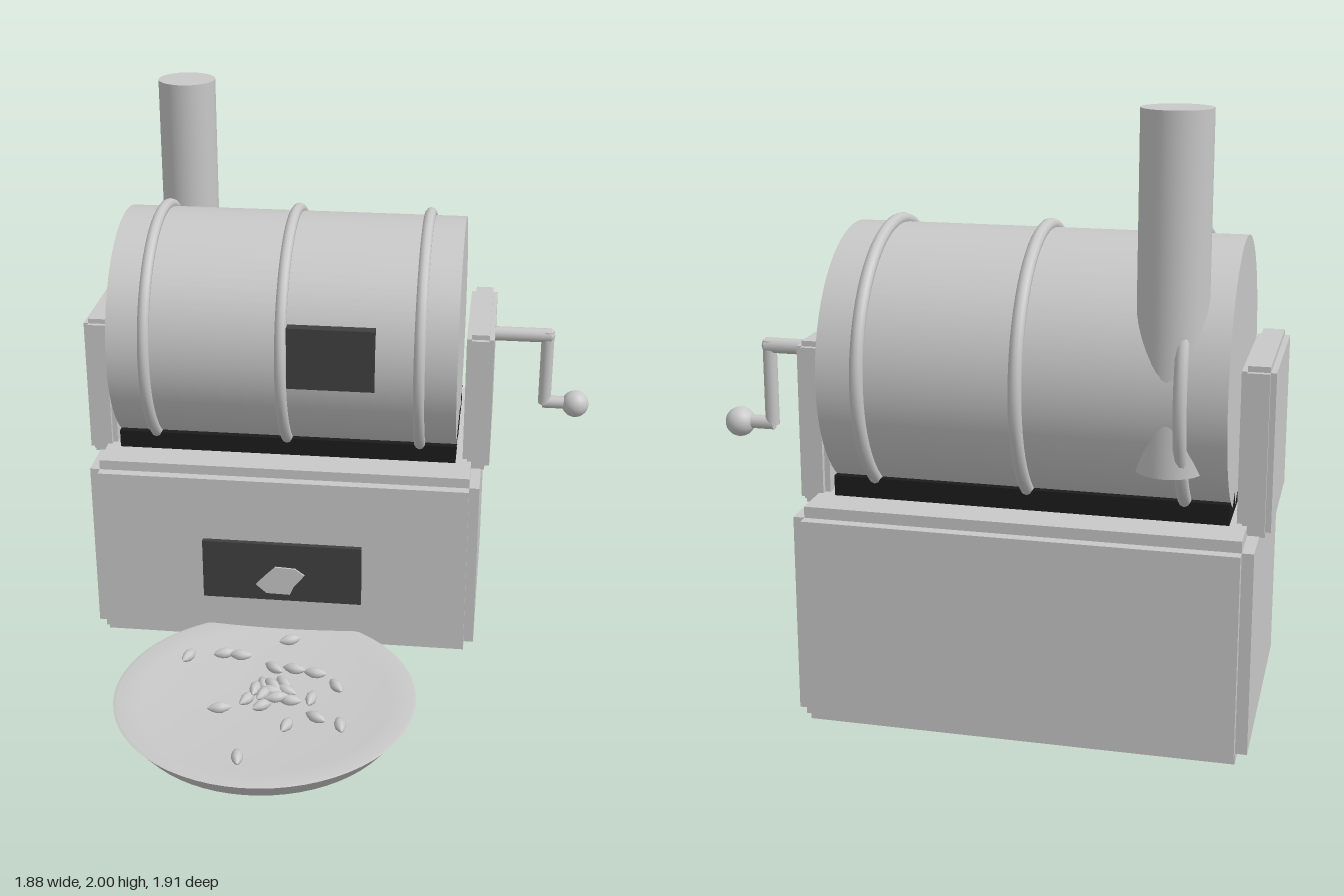
import * as THREE from 'three';
import { toCreasedNormals } from 'three/addons/utils/BufferGeometryUtils.js';

const paint = (name, color) => {
  const m = new THREE.MeshStandardMaterial({ color });
  m.name = name;
  return m;
};

export function createModel() {
  const model = new THREE.Group();
  const grey = paint('pale grey metal', 0xc8c8c8);
  const dark = paint('dark iron', 0x404040);
  const soot = paint('soot black', 0x1c1c1c);

  const add = (name, geometry, material, x = 0, y = 0, z = 0, parent = model) => {
    const mesh = new THREE.Mesh(geometry, material);
    mesh.name = name;
    mesh.position.set(x, y, z);
    parent.add(mesh);
    return mesh;
  };
  // Box given by its low and high corners
  const span = (name, a, b, material, parent) => add(name,
    new THREE.BoxGeometry(b[0] - a[0], b[1] - a[1], b[2] - a[2]), material,
    (a[0] + b[0]) / 2, (a[1] + b[1]) / 2, (a[2] + b[2]) / 2, parent);
  // Block with notched edges: three crossing boxes, each full size along one axis
  const notchedBlock = (name, a, b, inset) => {
    const group = new THREE.Group();
    group.name = name;
    for (let axis = 0; axis < 3; axis++) {
      span(name + 'Face', a.map((v, i) => (i === axis ? v : v + inset)),
        b.map((v, i) => (i === axis ? v : v - inset)), grey, group);
    }
    model.add(group);
  };
  // Round bar between two points
  const bar = (name, from, to, radius, parent) => {
    const a = new THREE.Vector3(...from), b = new THREE.Vector3(...to);
    const dir = b.clone().sub(a);
    const mesh = add(name, new THREE.CylinderGeometry(radius, radius, dir.length(), 12), grey, 0, 0, 0, parent);
    mesh.position.copy(a).add(b).multiplyScalar(0.5);
    mesh.quaternion.setFromUnitVectors(new THREE.Vector3(0, 1, 0), dir.normalize());
  };

  // Base and the two supports holding the drum
  notchedBlock('base', [-0.91, 0, -0.945], [0.545, 0.73, -0.04], 0.037);
  notchedBlock('rightSupport', [-0.945, 0.69, -0.77], [-0.84, 1.23, -0.225], 0.018);
  notchedBlock('leftSupport', [0.475, 0.69, -0.77], [0.575, 1.23, -0.225], 0.018);
  span('fireBed', [-0.82, 0.72, -0.78], [0.45, 0.797, -0.205], soot);

  // Drum with three hoops
  const cy = 1.142, cz = -0.4925;
  add('drum', new THREE.CylinderGeometry(0.434, 0.434, 1.27, 64).rotateZ(Math.PI / 2), grey, -0.185, cy, cz);
  for (const x of [-0.68, -0.183, 0.315]) {
    add('hoop', new THREE.TorusGeometry(0.442, 0.021, 10, 64).rotateY(Math.PI / 2), grey, x, cy, cz);
  }
  span('hatch', [-0.16, 1.07, -0.1], [0.157, 1.302, -0.048], dark);

  // Chimney
  add('chimney', new THREE.CylinderGeometry(0.108, 0.108, 1.09, 40), grey, -0.638, 1.455, -0.813);

  // Crank on the left side
  const crank = new THREE.Group();
  crank.name = 'crank';
  model.add(crank);
  bar('crankShaft', [0.56, 1.142, cz], [0.785, 1.142, cz], 0.027, crank);
  bar('crankArm', [0.772, 1.16, cz], [0.772, 0.865, cz], 0.024, crank);
  bar('crankGrip', [0.765, 0.87, cz], [0.87, 0.87, cz], 0.024, crank);
  add('crankElbow', new THREE.SphereGeometry(0.027, 12, 8), grey, 0.772, 1.142, cz, crank);
  add('crankKnob', new THREE.SphereGeometry(0.051, 24, 16), grey, 0.889, 0.867, cz, crank);

  // Outlet opening with a flat flake in it
  span('outlet', [-0.482, 0.205, -0.06], [0.118, 0.443, -0.02], dark);
  const flake = new THREE.Shape([
    [-0.28, 0.272], [-0.24, 0.237], [-0.15, 0.235], [-0.135, 0.27],
    [-0.095, 0.32], [-0.13, 0.346], [-0.205, 0.35], [-0.24, 0.315],
  ].map(p => new THREE.Vector2(...p)));
  add('flake', new THREE.ExtrudeGeometry(flake, { depth: 0.009, bevelEnabled: false }), grey, 0, 0, -0.022);

  // Shallow dish
  const profile = [[0, 0], [0.485, 0], [0.542, 0.072], [0.53, 0.075], [0.45, 0.066], [0.3, 0.058], [0.15, 0.053], [0, 0.05]]
    .map(p => new THREE.Vector2(...p));
  add('dish', toCreasedNormals(new THREE.LatheGeometry(profile, 64), 0.5), grey, -0.183, 0, 0.415);

  // Pointed beans: x, z, heading in degrees
  const beans = [
    [-0.5, 0.21, 70], [-0.37, 0.175, 20], [-0.31, 0.18, 0], [-0.14, 0.06, 25], [-0.175, 0.245, -35],
    [-0.1, 0.245, -10], [-0.02, 0.265, -5], [0.065, 0.34, -55], [-0.015, 0.425, 85], [-0.33, 0.52, 15],
    [0.015, 0.54, -30], [0.105, 0.58, -75], [-0.08, 0.595, 75], [-0.22, 0.805, -80],
  ];
  // Small heap in the middle
  for (let i = 0; i < 11; i++) {
    const a = i * 2.4, r = 0.028 * Math.sqrt(i);
    beans.push([-0.165 + r * Math.cos(a), 0.415 + r * Math.sin(a), i * 67, i < 5 ? 0.018 : 0]);
  }
  const beanGeometry = new THREE.LatheGeometry(
    [[0, -0.045], [0.012, -0.03], [0.02, -0.01], [0.02, 0.01], [0.012, 0.03], [0, 0.045]]
      .map(p => new THREE.Vector2(...p)), 10).rotateZ(Math.PI / 2);
  for (const [x, z, heading, lift = 0] of beans) {
    const far = Math.hypot(x + 0.183, z - 0.415);
    const bean = add('bean', beanGeometry, grey, x, 0.072 + 0.03 * far + lift, z);
    bean.rotation.y = THREE.MathUtils.degToRad(heading);
  }
  return model;
}
